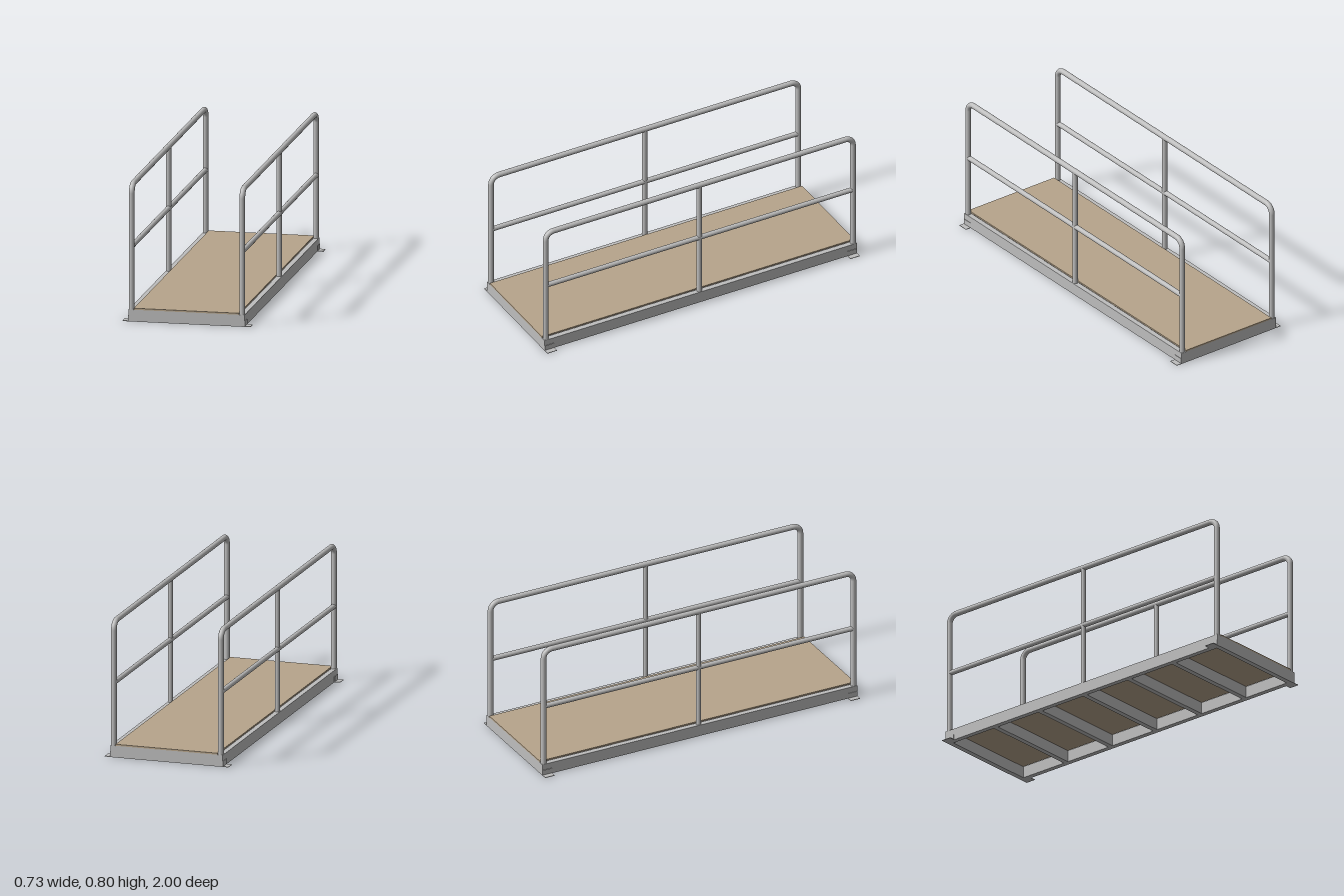
import * as THREE from 'three';

const steel = new THREE.MeshStandardMaterial({ color: 0xbdbdbd });
steel.name = 'galvanised steel';
const board = new THREE.MeshStandardMaterial({ color: 0xb7a58c });
board.name = 'tan deck board';

const FRAME_TOP = 0.068, HALF_WIDTH = 0.333, BEAM = 0.03;
const PIPE = 0.016, RAIL_X = 0.317, RAIL_Z = 0.984, TOP_Y = 0.785, BEND = 0.05, MID_Y = 0.43;

function box(parent, name, material, size, position) {
  const mesh = new THREE.Mesh(new THREE.BoxGeometry(...size), material);
  mesh.name = name;
  mesh.position.set(...position);
  parent.add(mesh);
}

// Upright pipe from y0 to y1
function post(parent, name, y0, y1, z, radius) {
  const mesh = new THREE.Mesh(new THREE.CylinderGeometry(radius, radius, y1 - y0, 24), steel);
  mesh.name = name;
  mesh.position.set(0, (y0 + y1) / 2, z);
  parent.add(mesh);
}

// Level pipe running along z
function rail(parent, name, length, y, radius) {
  const mesh = new THREE.Mesh(new THREE.CylinderGeometry(radius, radius, length, 24), steel);
  mesh.name = name;
  mesh.rotation.x = Math.PI / 2;
  mesh.position.y = y;
  parent.add(mesh);
}

function createHandrail(name, x) {
  const group = new THREE.Group();
  group.name = name;
  group.position.x = x;
  for (const s of [1, -1]) {
    post(group, 'endPost', FRAME_TOP, TOP_Y - BEND, s * RAIL_Z, PIPE);
    // Quarter bend joining the post to the top rail
    const bend = new THREE.Mesh(new THREE.TorusGeometry(BEND, PIPE, 24, 12, Math.PI / 2), steel);
    bend.name = 'cornerBend';
    bend.rotation.y = -s * Math.PI / 2;
    bend.position.set(0, TOP_Y - BEND, s * (RAIL_Z - BEND));
    group.add(bend);
  }
  rail(group, 'topRail', 2 * (RAIL_Z - BEND), TOP_Y, PIPE);
  rail(group, 'middleRail', 2 * RAIL_Z, MID_Y, 0.0145);
  post(group, 'middlePost', FRAME_TOP, TOP_Y, 0, 0.0145);
  return group;
}

export function createModel() {
  const model = new THREE.Group();
  model.name = 'walkway';

  // Base frame: side beams, end beams and five joists between them
  const frame = new THREE.Group();
  frame.name = 'frame';
  model.add(frame);
  const midY = FRAME_TOP / 2;
  const inner = 2 * (HALF_WIDTH - BEAM);
  for (const s of [1, -1]) {
    box(frame, 'sideBeam', steel, [BEAM, FRAME_TOP, 2], [s * (HALF_WIDTH - BEAM / 2), midY, 0]);
    box(frame, 'endBeam', steel, [inner, FRAME_TOP, BEAM], [0, midY, s * (1 - BEAM / 2)]);
  }
  for (let i = -2; i <= 2; i++) {
    box(frame, 'joist', steel, [inner, FRAME_TOP, BEAM], [0, midY, i * 0.328]);
  }

  // Deck board between the handrails
  box(model, 'deck', board, [0.604, 0.009, 2], [0, FRAME_TOP + 0.0045, 0]);

  // Angle brackets on the four corners
  for (const sx of [1, -1]) {
    for (const sz of [1, -1]) {
      const bracket = new THREE.Group();
      bracket.name = 'cornerBracket';
      box(bracket, 'bracketFoot', steel, [0.034, 0.003, 0.06], [sx * 0.35, 0.0015, sz * 0.97]);
      box(bracket, 'bracketUpright', steel, [0.003, 0.033, 0.06], [sx * 0.3345, 0.0165, sz * 0.97]);
      model.add(bracket);
    }
  }

  model.add(createHandrail('leftHandrail', RAIL_X), createHandrail('rightHandrail', -RAIL_X));
  return model;
}
